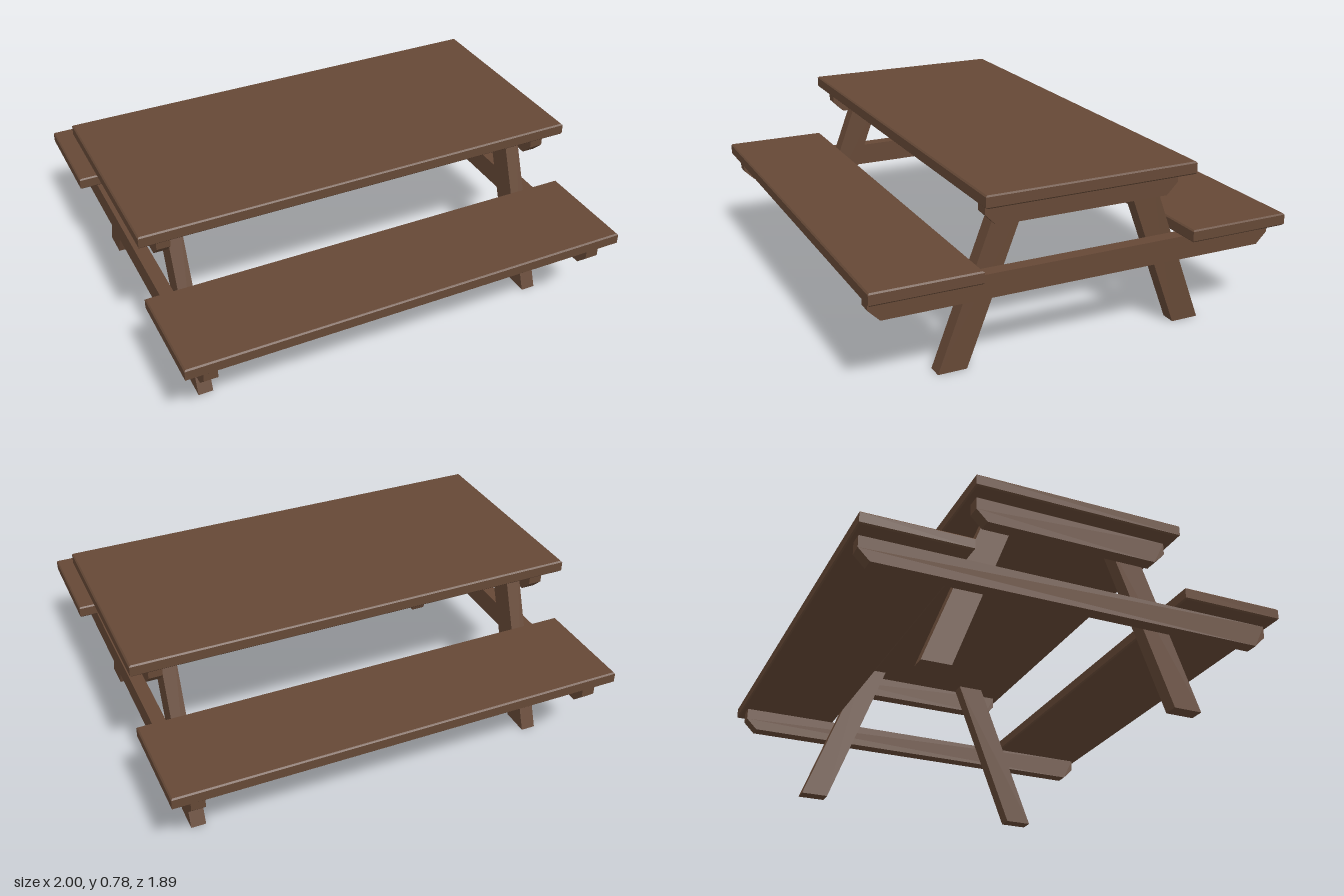
import * as THREE from 'three';

export function createModel() {
  const model = new THREE.Group();
  model.name = 'picnicTable';
  const wood = new THREE.MeshStandardMaterial({ color: 0x654836 });
  wood.name = 'brownWood';

  const add = (name, geometry, x, y, z) => {
    const mesh = new THREE.Mesh(geometry, wood);
    mesh.name = name;
    mesh.position.set(x, y, z);
    model.add(mesh);
  };

  // Plank lying flat with small chamfers on every edge
  const plank = (w, h, d, b = 0.006) => {
    const x = w / 2, z = d / 2 - b, i = x - b;
    const shape = new THREE.Shape([[-i, -z], [i, -z], [i, z], [-i, z]].map(p => new THREE.Vector2(...p)));
    const g = new THREE.ExtrudeGeometry(shape, {
      depth: h - 2 * b, bevelEnabled: true, bevelThickness: b, bevelSize: b, bevelSegments: 1,
    });
    return g.rotateX(-Math.PI / 2).translate(0, b, 0);
  };

  // Side profile of [z, y] points given a thickness along x, centred on x = 0
  const sidePiece = (points, thickness) => {
    const shape = new THREE.Shape(points.map(([z, y]) => new THREE.Vector2(-z, y)));
    const g = new THREE.ExtrudeGeometry(shape, { depth: thickness, bevelEnabled: false });
    return g.translate(0, 0, -thickness / 2).rotateY(Math.PI / 2);
  };

  // Cross beam with clipped lower corners
  const beam = half => sidePiece([
    [-half, 0.103], [-half, 0.05], [-half + 0.05, 0], [half - 0.05, 0], [half, 0.05], [half, 0.103],
  ], 0.06);

  // Table top and the two benches
  add('tableTop', plank(2, 0.054, 0.942), 0, 0.73, 0);
  for (const s of [1, -1]) {
    add(s > 0 ? 'frontBench' : 'backBench', plank(2, 0.054, 0.468), 0, 0.43, s * 0.709);
  }

  // Trestle at each end: two beams outside two splayed legs
  for (const sx of [1, -1]) {
    const side = sx > 0 ? 'left' : 'right';
    add(side + 'TopBeam', beam(0.437), sx * 0.89, 0.627, 0);
    add(side + 'BenchBeam', beam(0.919), sx * 0.89, 0.327, 0);
    for (const sz of [1, -1]) {
      const leg = sidePiece([[0.62, 0], [0.493, 0], [0.214, 0.73], [0.341, 0.73]].map(([z, y]) => [sz * z, y]), 0.066);
      add(side + (sz > 0 ? 'FrontLeg' : 'BackLeg'), leg, sx * 0.815, 0, -0.011);
    }
  }
  return model;
}
